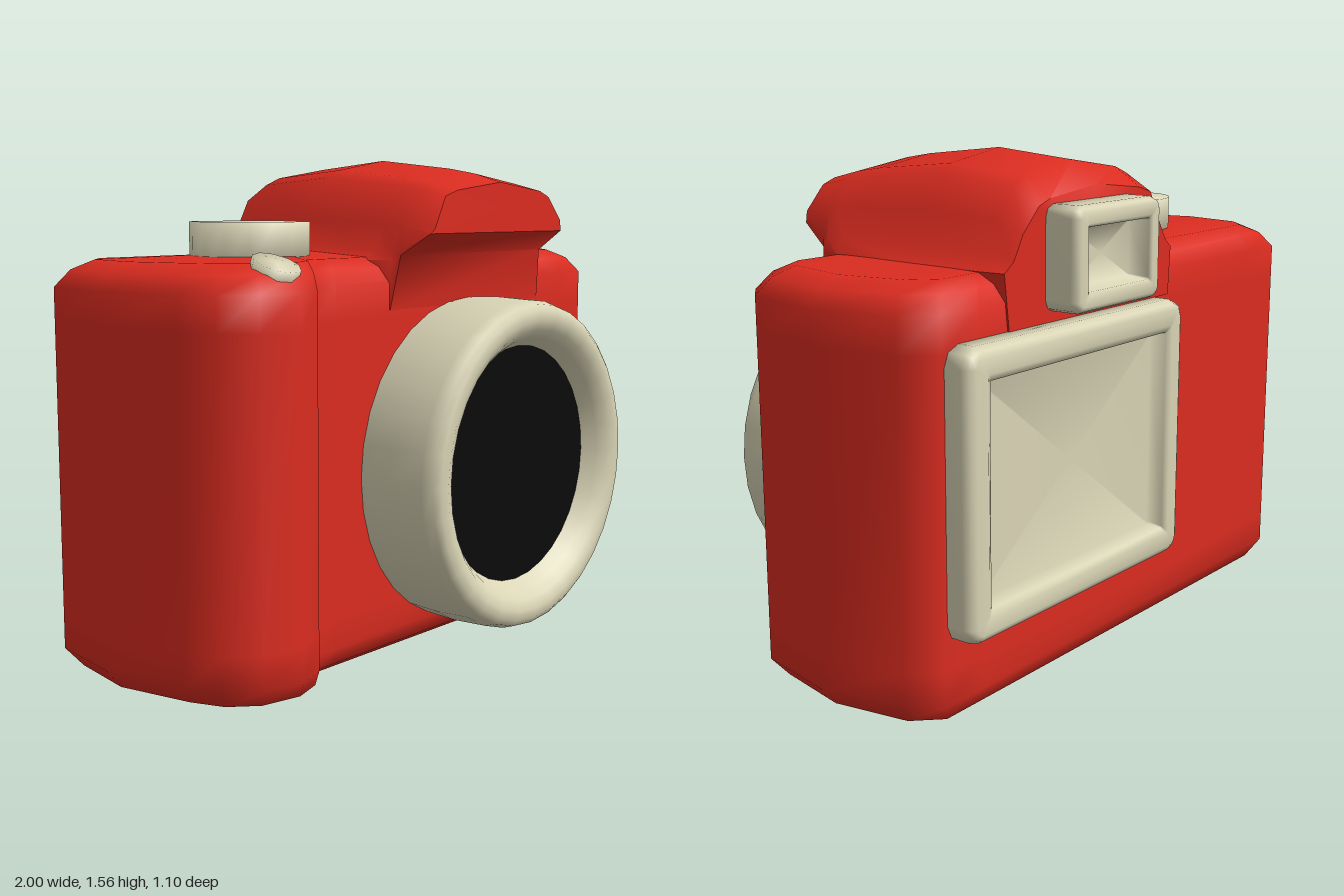
import * as THREE from 'three';
import { mergeVertices, toCreasedNormals } from 'three/addons/utils/BufferGeometryUtils.js';

const paint = (name, color) => {
  const m = new THREE.MeshStandardMaterial({ color });
  m.name = name;
  return m;
};

// Joins equal rings of [x, y, z] points and closes both ends with a fan.
function loft(rings, startCentre, endCentre) {
  const n = rings[0].length;
  const points = [...rings.flat(), startCentre, endCentre];
  const start = rings.length * n, end = start + 1, index = [];
  const last = (rings.length - 1) * n;
  for (let j = 0; j < n; j++) {
    const k = (j + 1) % n;
    for (let i = 0; i < rings.length - 1; i++) {
      const a = i * n + j, b = i * n + k;
      index.push(a, b, b + n, a, b + n, a + n);
    }
    index.push(start, k, j, end, last + j, last + k);
  }
  const g = new THREE.BufferGeometry();
  g.setAttribute('position', new THREE.Float32BufferAttribute(points.flat(), 3));
  g.setIndex(index);
  g.computeVertexNormals();
  return g;
}

// Cylinder with normals shared between wall and caps, for a soft pebble look.
function softCylinder(radius, height, sides) {
  let g = new THREE.CylinderGeometry(radius, radius, height, sides);
  g.deleteAttribute('normal');
  g.deleteAttribute('uv');
  g = mergeVertices(g);
  g.computeVertexNormals();
  return g;
}

// Rounded rectangular frame with a sunken panel; steps are [inset, z].
function framedPanel(w, h, corner, steps) {
  const rings = steps.map(([inset, z]) => {
    const x = w / 2 - inset, y = h / 2 - inset;
    const c = Math.max(corner - inset, 0.006), d = c * 0.3;
    const quarter = [[x, y - c], [x - d, y - d], [x - c, y]];
    const flip = (sx, sy) => quarter.map(([px, py]) => [px * sx, py * sy, z]);
    return [...flip(1, 1), ...flip(-1, 1).reverse(), ...flip(-1, -1), ...flip(1, -1).reverse()];
  });
  return loft(rings, [0, 0, steps[0][1]], [0, 0, steps.at(-1)[1]]);
}

export function createModel() {
  const group = new THREE.Group();
  const red = paint('red shell', 0xdb2c20);
  const cream = paint('cream trim', 0xd9d4b5);
  const black = paint('black glass', 0x0a0a0b);

  const add = (name, geometry, material, x = 0, y = 0, z = 0) => {
    const mesh = new THREE.Mesh(geometry, material);
    mesh.name = name;
    mesh.position.set(x, y, z);
    group.add(mesh);
    return mesh;
  };

  // Body: plan outline with the hand grip, drawn in at the top and bottom
  const plan = [
    [1, -0.09], [0.95, -0.35], [0.87, -0.435], [0.72, -0.435], [-0.72, -0.435],
    [-0.87, -0.435], [-0.95, -0.35], [-1, -0.09], [-0.95, 0.18], [-0.91, 0.29],
    [-0.83, 0.37], [-0.7, 0.4], [-0.6, 0.365], [-0.52, 0.27], [-0.42, 0.27],
    [0.72, 0.27], [0.87, 0.27], [0.95, 0.18],
  ];
  const levels = [
    [0.005, 0.13], [0.04, 0.05], [0.1, 0], [0.2, 0],
    [1.08, 0], [1.18, 0], [1.23, 0.045], [1.258, 0.11],
  ];
  const bodyRings = levels.map(([y, inset]) =>
    plan.map(([x, z]) => [x * (1 - inset), y, (z + 0.08) * (1 - 2 * inset) - 0.08]));
  add('body', loft(bodyRings, [-0.3, 0, -0.08], [-0.3, 1.272, -0.08]), red);

  // Viewfinder hump: front profile carried from back to front, with an overhang
  const profile = [
    [0.6, 1.1], [0.63, 1.26], [0.58, 1.3], [0.54, 1.4], [0.47, 1.5], [0.42, 1.525], [0.2, 1.56],
    [-0.02, 1.525], [-0.08, 1.5], [-0.13, 1.37], [-0.17, 1.28], [-0.22, 1.25], [-0.19, 1.1],
  ];
  const stations = [ // z, top, underside, left limit, right limit
    [-0.44, 1.47, 1.1, 0.62, -0.2], [-0.35, 1.535, 1.1, 0.63, -0.22],
    [-0.08, 1.56, 1.1, 0.63, -0.22], [0.2, 1.53, 1.1, 0.62, -0.21],
    [0.272, 1.518, 1.1, 0.6, -0.18], [0.3, 1.513, 1.265, 0.57, -0.165],
    [0.402, 1.485, 1.33, 0.545, -0.15],
  ];
  const humpRings = stations.map(([z, top, under, left, right]) =>
    profile.map(([x, y]) => [
      THREE.MathUtils.clamp(x, right, left),
      Math.max(under, y > 1.26 ? 1.26 + (y - 1.26) * (top - 1.26) / 0.3 : y),
      z,
    ]));
  const hump = loft(humpRings, [0.2, 1.3, -0.44], [0.2, 1.4, 0.402]);
  add('viewfinderHump', toCreasedNormals(hump, 0.97), red);

  // Lens barrel with a rounded lip, and the glass inside it
  const lensProfile = [
    [0.515, 0.2], [0.522, 0.29], [0.527, 0.38], [0.522, 0.5], [0.51, 0.535], [0.49, 0.551],
    [0.46, 0.553], [0.43, 0.54], [0.405, 0.515], [0.372, 0.465],
  ].map(([r, z]) => new THREE.Vector2(r, z));
  const barrel = new THREE.LatheGeometry(lensProfile, 32).rotateX(Math.PI / 2);
  add('lensBarrel', barrel, cream, 0.21, 0.6, 0);
  add('lensGlass', new THREE.CircleGeometry(0.38, 32), black, 0.21, 0.6, 0.473);

  // Mode dial and shutter button
  add('modeDial', softCylinder(0.182, 0.145, 16), cream, -0.433, 1.293, -0.07);
  add('shutterButton', softCylinder(0.07, 0.05, 10), cream, -0.707, 1.237, 0.305).rotation.x = 0.38;

  // Rear screen and eyepiece, facing backwards
  const screen = framedPanel(1.03, 0.82, 0.055, [
    [0, 0], [0, 0.09], [0.012, 0.11], [0.03, 0.12], [0.075, 0.12],
    [0.095, 0.11], [0.105, 0.06],
  ]);
  add('rearScreen', screen, cream, 0.345, 0.69, -0.4).rotation.y = Math.PI;
  const eyepiece = framedPanel(0.42, 0.3, 0.035, [
    [0, 0], [0, 0.125], [0.008, 0.142], [0.02, 0.15], [0.05, 0.15],
    [0.06, 0.142], [0.066, 0.075],
  ]);
  add('eyepiece', eyepiece, cream, 0.23, 1.28, -0.4).rotation.y = Math.PI;

  return group;
}
